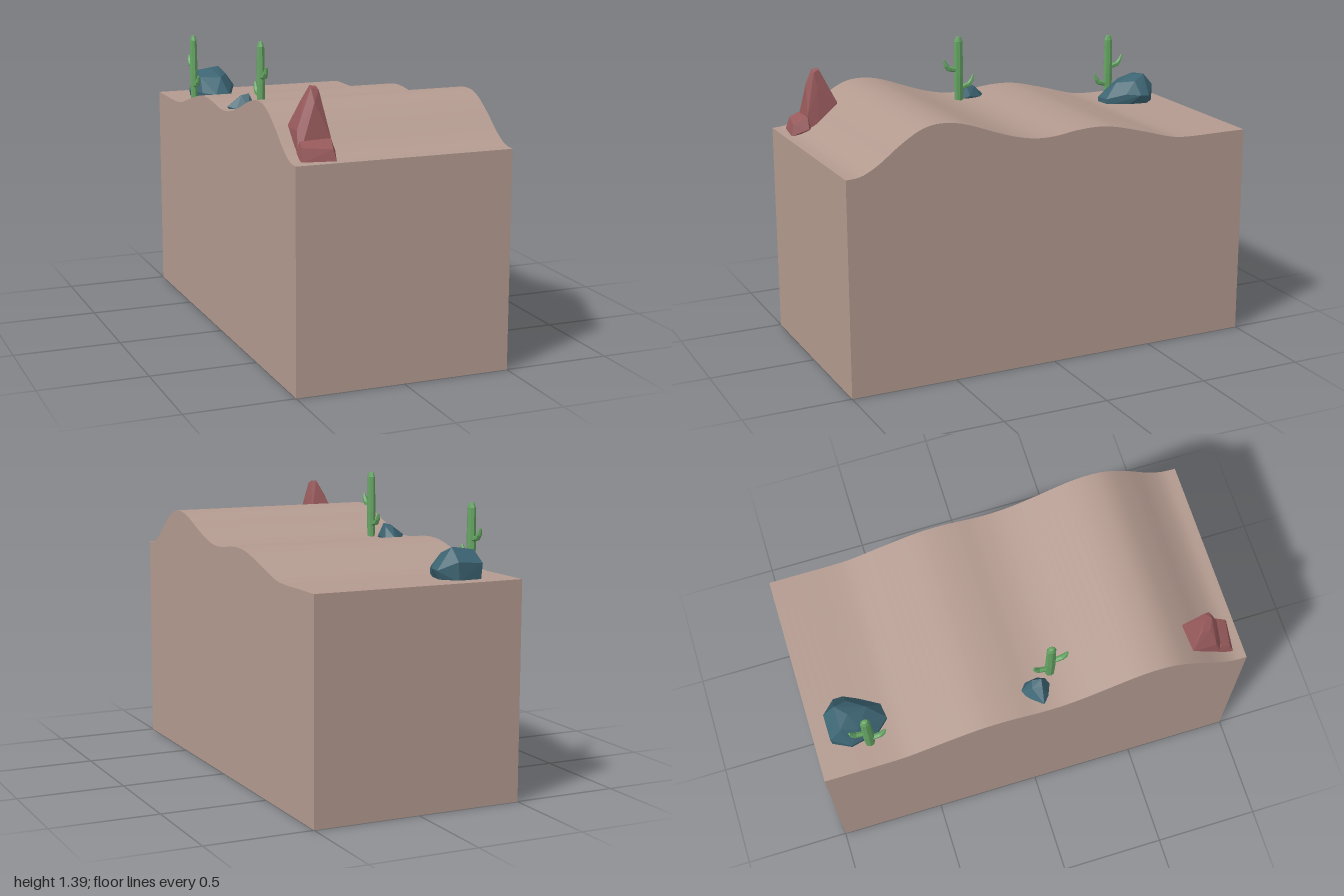
import * as THREE from 'three';
import { toCreasedNormals } from 'three/addons/utils/BufferGeometryUtils.js';
import { ConvexGeometry } from 'three/addons/geometries/ConvexGeometry.js';

const material = (color, flatShading = true) => new THREE.MeshStandardMaterial({ color, flatShading });
const sand = material(0xb39a8f, false);
const redStone = material(0x985a5c);
const blueStone = material(0x3c6472);
const green = material(0x66a564);

function part(name, geometry, mat) {
  const mesh = new THREE.Mesh(geometry, mat);
  mesh.name = name;
  return mesh;
}

// Faceted stone: convex hull of a few corner points
function stone(name, points, mat) {
  return part(name, new ConvexGeometry(points.map((p) => new THREE.Vector3(...p))), mat);
}

// Ground block: dune outline (z, y) extruded across x
function ground() {
  const dune = new THREE.SplineCurve([
    [1, 1], [0.93, 1.008], [0.85, 1.05], [0.75, 1.125], [0.65, 1.183], [0.56, 1.2],
    [0.45, 1.185], [0.3, 1.132], [0.2, 1.1], [0.1, 1.081], [0, 1.081], [-0.1, 1.095],
    [-0.2, 1.1], [-0.3, 1.09], [-0.45, 1.052], [-0.6, 1.01], [-0.7, 1], [-0.85, 1], [-1, 1],
  ].map((p) => new THREE.Vector2(...p)));
  const outline = new THREE.Shape([
    new THREE.Vector2(-1, 0), new THREE.Vector2(1, 0), ...dune.getPoints(80),
  ]);
  const geometry = new THREE.ExtrudeGeometry(outline, { depth: 1, bevelEnabled: false });
  geometry.translate(0, 0, -0.5).rotateY(-Math.PI / 2);
  return part('ground', toCreasedNormals(geometry, 0.6), sand);
}

// Tapered limb between two points of the z-y plane
function limb(name, z0, y0, z1, y1, r0, r1) {
  const a = new THREE.Vector3(0, y0, z0);
  const b = new THREE.Vector3(0, y1, z1);
  const mesh = part(name, new THREE.CylinderGeometry(r1, r0, a.distanceTo(b), 6), green);
  mesh.position.copy(a).lerp(b, 0.5);
  mesh.quaternion.setFromUnitVectors(new THREE.Vector3(0, 1, 0), b.sub(a).normalize());
  return mesh;
}

// Cactus with a high arm toward +z and a low arm toward -z
function cactus(name, x, y, z, turn) {
  const group = new THREE.Group();
  group.name = name;
  const profile = [[0, -0.02], [0.021, -0.02], [0.025, 0.12], [0.022, 0.29], [0.013, 0.312], [0, 0.315]];
  const stem = new THREE.LatheGeometry(profile.map((p) => new THREE.Vector2(...p)), 8);
  stem.scale(0.8, 1, 1);
  group.add(part('stem', stem, green));
  for (const [side, base] of [[1, 0.15], [-1, 0.062]]) {
    group.add(
      limb('armBase', side * 0.015, base, side * 0.055, base + 0.012, 0.012, 0.013),
      limb('armMiddle', side * 0.05, base + 0.006, side * 0.068, base + 0.03, 0.013, 0.011),
      limb('armTip', side * 0.067, base + 0.026, side * 0.078, base + 0.056, 0.012, 0.005),
    );
  }
  group.position.set(x, y, z);
  group.rotation.y = turn;
  return group;
}

export function createModel() {
  const model = new THREE.Group();
  model.name = 'desertBlock';
  model.add(ground());

  // Red spire with a low foot in front
  const spire = new THREE.Group();
  spire.name = 'redSpire';
  spire.add(
    stone('spireBody', [
      [-0.45, 1, 0.9], [-0.31, 1, 0.9], [-0.285, 1.02, 0.84], [-0.31, 1.05, 0.735], [-0.445, 1.05, 0.735],
      [-0.44, 1.12, 0.86], [-0.44, 1.12, 0.745], [-0.3, 1.09, 0.89], [-0.31, 1.14, 0.74],
      [-0.4, 1.235, 0.83], [-0.4, 1.23, 0.79], [-0.365, 1.235, 0.87], [-0.318, 1.21, 0.83],
      [-0.37, 1.295, 0.84], [-0.34, 1.298, 0.815], [-0.335, 1.285, 0.84], [-0.365, 1.3, 0.81],
    ], redStone),
    stone('spireFoot', [
      [-0.455, 1, 0.95], [-0.305, 1, 0.97], [-0.28, 1.03, 0.89], [-0.29, 1, 0.87], [-0.455, 1, 0.86],
      [-0.445, 1.06, 0.93], [-0.315, 1.05, 0.955], [-0.44, 1.08, 0.89], [-0.3, 1.085, 0.89],
    ], redStone),
  );
  model.add(spire);

  // Blue boulders
  model.add(
    stone('smallBoulder', [
      [-0.47, 1.09, 0.035], [-0.41, 1.08, -0.035], [-0.38, 1.085, -0.047], [-0.345, 1.08, -0.02],
      [-0.34, 1.09, 0.04], [-0.35, 1.08, 0.075], [-0.38, 1.08, 0.088], [-0.435, 1.08, 0.065],
      [-0.46, 1.06, 0.035], [-0.35, 1.06, -0.02], [-0.38, 1.06, 0.085], [-0.35, 1.06, 0.07],
      [-0.405, 1.14, 0.045], [-0.37, 1.148, 0.05], [-0.36, 1.135, 0.01], [-0.395, 1.13, 0.0],
    ], blueStone),
    stone('largeBoulder', [
      [-0.34, 0.99, -0.92], [-0.23, 0.99, -0.925], [-0.17, 0.99, -0.86], [-0.19, 0.99, -0.76],
      [-0.23, 0.99, -0.665], [-0.3, 0.99, -0.655], [-0.35, 0.99, -0.71], [-0.38, 0.99, -0.84],
      [-0.345, 1.07, -0.925], [-0.225, 1.08, -0.925], [-0.2, 1.06, -0.9], [-0.152, 1.04, -0.865],
      [-0.152, 1.045, -0.82], [-0.185, 1.05, -0.755], [-0.23, 1.025, -0.665], [-0.3, 1.025, -0.655],
      [-0.355, 1.03, -0.71], [-0.385, 1.03, -0.84], [-0.34, 1.1, -0.79], [-0.25, 1.1, -0.73],
      [-0.33, 1.125, -0.87], [-0.22, 1.14, -0.87], [-0.2, 1.11, -0.81], [-0.27, 1.132, -0.82],
    ], blueStone),
  );

  model.add(
    cactus('middleCactus', -0.33, 1.08, 0.105, 0),
    cactus('backCactus', -0.385, 1.005, -0.757, Math.PI),
  );
  return model;
}
